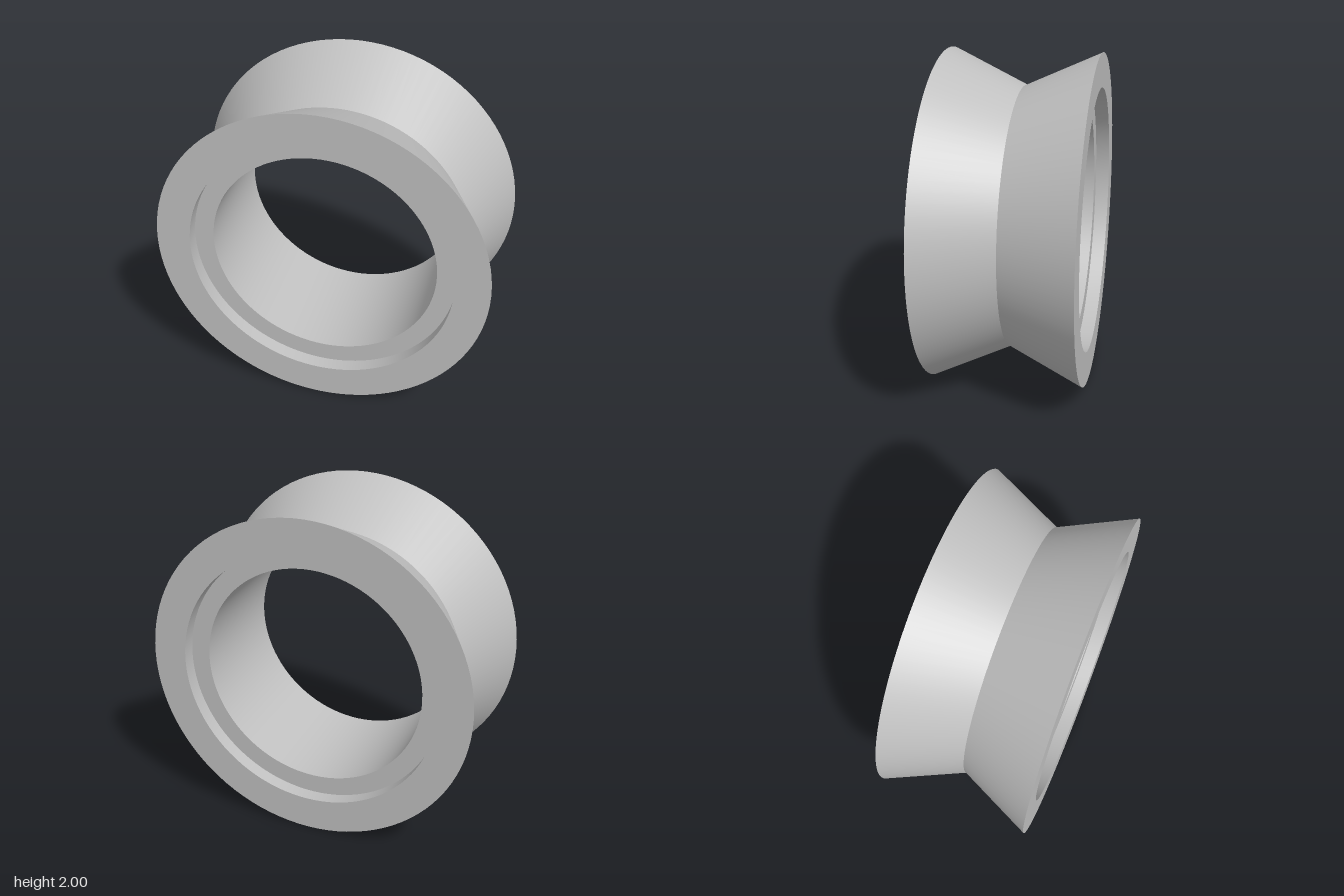
import * as THREE from 'three';
import { toCreasedNormals } from 'three/addons/utils/BufferGeometryUtils.js';

export function createModel() {
  const group = new THREE.Group();
  group.name = 'grooveWheel';

  const grey = new THREE.MeshStandardMaterial({ color: 0xc0c0c0 });
  grey.name = 'grey';

  const half = 0.453;    // half of the wheel's width
  const rim = 1;         // outer radius
  const waist = 0.79;    // radius at the bottom of the V groove
  const seat = 0.793;    // radius of the recess in each face
  const bore = 0.676;    // radius of the through hole
  const depth = 0.085;   // depth of each recess

  // Closed cross-section: V groove, face, recess, bore, recess, face
  const profile = [
    [rim, -half], [waist, 0], [rim, half],
    [seat, half], [seat, half - depth], [bore, half - depth],
    [bore, depth - half], [seat, depth - half], [seat, -half], [rim, -half],
  ].map(([r, z]) => new THREE.Vector2(r, z));

  // Turn the section about z and keep the ring edges sharp
  const ring = new THREE.LatheGeometry(profile, 96).rotateX(Math.PI / 2);
  const wheel = new THREE.Mesh(toCreasedNormals(ring, 0.5), grey);
  wheel.name = 'grooveRing';
  wheel.position.y = rim;
  group.add(wheel);

  return group;
}
